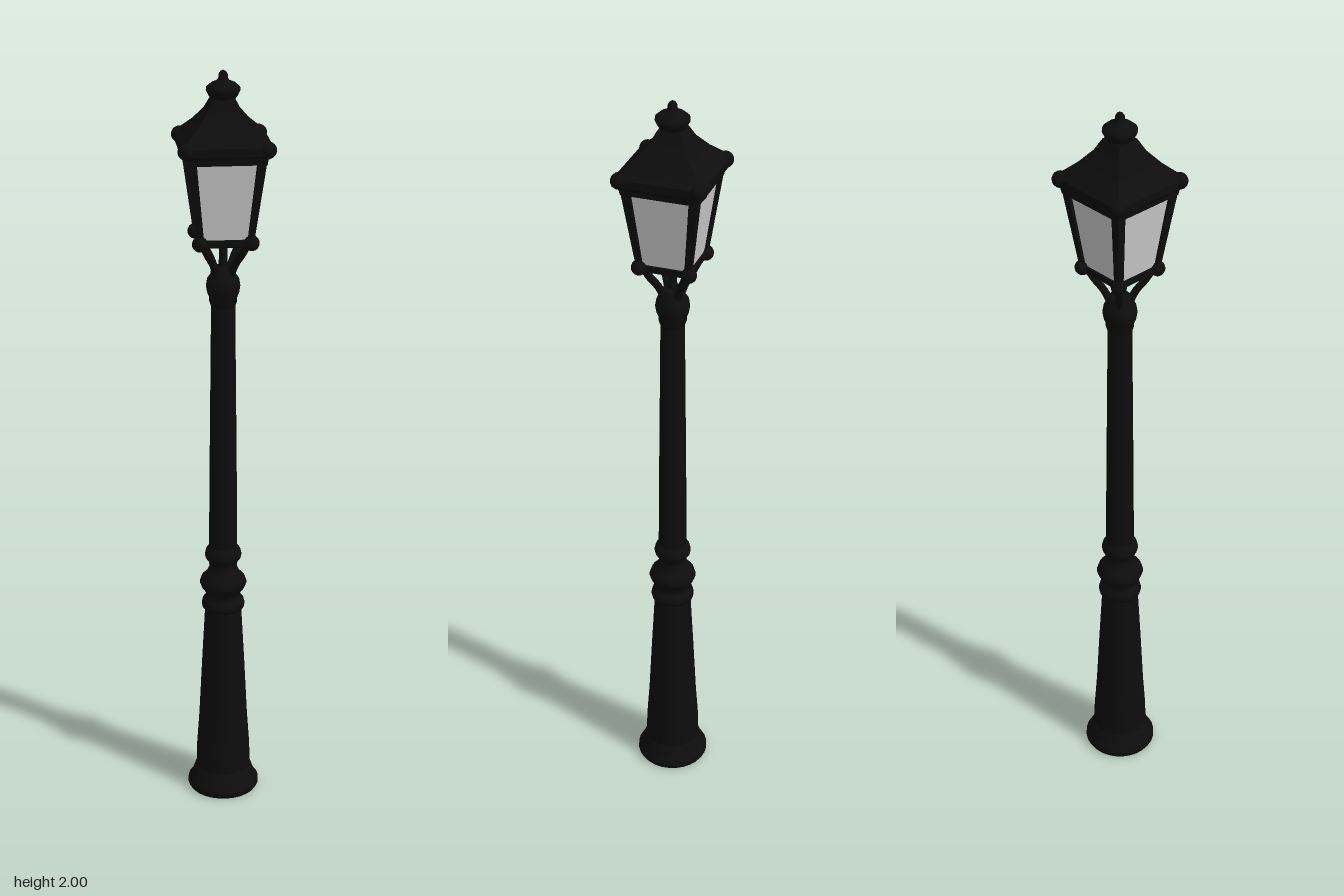
import * as THREE from 'three';

export function createModel() {
  const model = new THREE.Group();
  const iron = new THREE.MeshStandardMaterial({ color: 0x0d0d0d });
  iron.name = 'black iron';
  const pane = new THREE.MeshStandardMaterial({ color: 0xcccccc });
  pane.name = 'frosted glass';

  const add = (name, geometry, material = iron, x = 0, y = 0, z = 0) => {
    const mesh = new THREE.Mesh(geometry, material);
    mesh.name = name;
    mesh.position.set(x, y, z);
    model.add(mesh);
    return mesh;
  };
  const vectors = (pts) => pts.map(([r, y]) => new THREE.Vector2(r, y));

  // Round turned part from a [radius, height] profile
  const turned = (name, pts) => add(name, new THREE.LatheGeometry(vectors(pts), 28));

  // Square part from a [half width, height] profile
  const square = (name, pts, material) => {
    const g = new THREE.LatheGeometry(vectors(pts.map(([h, y]) => [h * Math.SQRT2, y])), 4, Math.PI / 4);
    const flat = g.toNonIndexed();
    flat.computeVertexNormals();
    return add(name, flat, material);
  };

  // Pedestal
  turned('foot', [[0, 0], [0.092, 0], [0.097, 0.008], [0.097, 0.02], [0.09, 0.027],
    [0.083, 0.045], [0.077, 0.062], [0.072, 0.067]]);
  turned('pedestal', [[0.074, 0.06], [0.073, 0.12], [0.066, 0.22], [0.058, 0.38], [0.049, 0.545]]);
  turned('mouldings', [[0.048, 0.54], [0.056, 0.548], [0.058, 0.558], [0.055, 0.57], [0.046, 0.577],
    [0.046, 0.59], [0.058, 0.607], [0.063, 0.62], [0.058, 0.635], [0.045, 0.648], [0.037, 0.665],
    [0.038, 0.68], [0.047, 0.692], [0.049, 0.702], [0.046, 0.715], [0.037, 0.728]]);

  // Shaft and collar
  turned('shaft', [[0.038, 0.72], [0.036, 0.95], [0.031, 1.41]]);
  turned('collar', [[0.031, 1.395], [0.036, 1.41], [0.036, 1.42], [0.041, 1.432], [0.044, 1.45],
    [0.041, 1.468], [0.033, 1.48], [0.031, 1.492], [0.024, 1.5], [0, 1.503]]);

  // Stem and corner arms holding the lantern
  turned('centreStem', [[0.014, 1.49], [0.011, 1.52], [0.011, 1.56], [0.02, 1.58]]);
  const corners = [[1, 1], [1, -1], [-1, -1], [-1, 1]];
  for (const [sx, sz] of corners) {
    const path = new THREE.CatmullRomCurve3([[0.016, 1.475], [0.028, 1.512], [0.045, 1.545], [0.06, 1.583]]
      .map(([d, y]) => new THREE.Vector3(sx * d, y, sz * d)));
    add('lanternArm', new THREE.TubeGeometry(path, 12, 0.01, 8));
  }

  // Lantern glass, floor and top rail
  square('glass', [[0.063, 1.58], [0.092, 1.8]], pane);
  square('lanternFloor', [[0, 1.565], [0.062, 1.565], [0.07, 1.57], [0.07, 1.586], [0.06, 1.586]]);
  square('topRail', [[0.088, 1.782], [0.099, 1.782], [0.103, 1.805], [0.08, 1.805]]);

  // Leaning corner posts that widen upwards, with ball knobs at both ends
  for (const [sx, sz] of corners) {
    const post = new THREE.BoxGeometry(1, 1, 1).toNonIndexed();
    const p = post.attributes.position;
    for (let i = 0; i < p.count; i++) {
      const [inner, outer] = p.getY(i) > 0 ? [0.076, 0.1] : [0.054, 0.07];
      const place = (v, s) => s * (v * s > 0 ? outer : inner);
      p.setXYZ(i, place(p.getX(i), sx), p.getY(i) > 0 ? 1.8 : 1.575, place(p.getZ(i), sz));
    }
    post.computeVertexNormals();
    add('cornerPost', post);
    add('lowerKnob', new THREE.SphereGeometry(0.02, 16, 12), iron, sx * 0.065, 1.577, sz * 0.065);
    add('upperKnob', new THREE.SphereGeometry(0.021, 16, 12), iron, sx * 0.101, 1.82, sz * 0.101);
  }

  // Roof and finial
  square('roof', [[0, 1.798], [0.104, 1.798], [0.114, 1.808], [0.114, 1.828], [0.104, 1.836],
    [0.07, 1.868], [0.044, 1.9], [0.029, 1.93], [0, 1.93]]);
  turned('finial', [[0.03, 1.915], [0.03, 1.928], [0.037, 1.938], [0.043, 1.95], [0.042, 1.958],
    [0.03, 1.968], [0.016, 1.974], [0.012, 1.98], [0.012, 1.988], [0.007, 1.996], [0, 2]]);

  return model;
}
